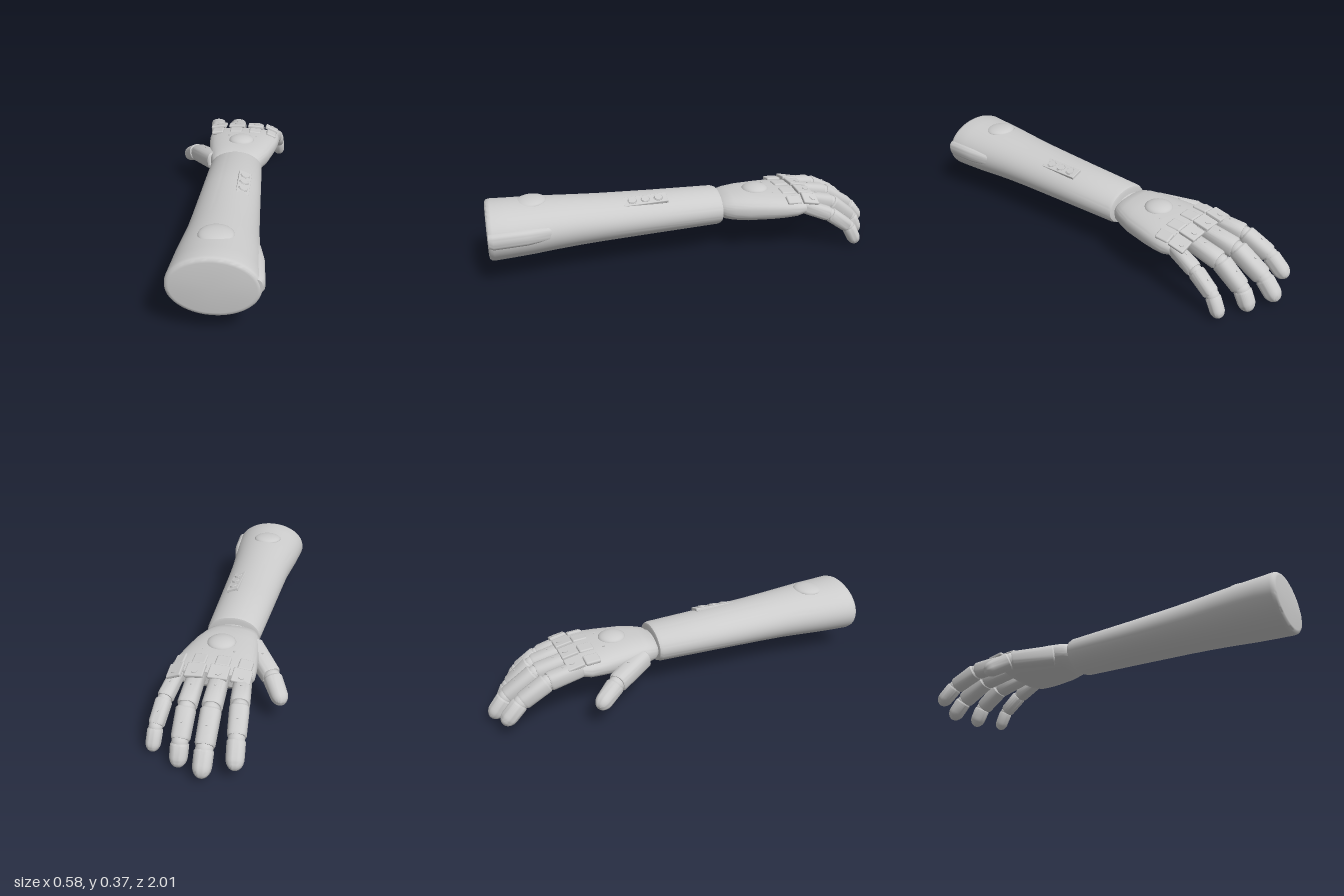
import * as THREE from 'three';
import { toCreasedNormals } from 'three/addons/utils/BufferGeometryUtils.js';
import { RoundedBoxGeometry } from 'three/addons/geometries/RoundedBoxGeometry.js';

const grey = new THREE.MeshStandardMaterial({ color: 0xcccccc });

function add(parent, name, geometry, x = 0, y = 0, z = 0) {
  const m = new THREE.Mesh(geometry, grey);
  m.name = name;
  m.position.set(x, y, z);
  parent.add(m);
  return m;
}

// Closed skin over superellipse sections [z, cx, cy, rx, ry], z ascending
function loft(sections, power = 2, sides = 48) {
  const first = sections[0], last = sections[sections.length - 1];
  const point = s => [s[0], s[1], s[2], 0.0002, 0.0002];
  const rows = [point(first), ...sections, point(last)];
  const pos = [], index = [];
  const bend = v => Math.sign(v) * Math.pow(Math.abs(v), 2 / power);
  rows.forEach(([z, cx, cy, rx, ry], i) => {
    for (let j = 0; j < sides; j++) {
      const a = (j / sides) * Math.PI * 2;
      pos.push(cx + rx * bend(Math.cos(a)), cy + ry * bend(Math.sin(a)), z);
      if (i === rows.length - 1) continue;
      const p = i * sides + j, q = i * sides + (j + 1) % sides;
      index.push(p, q, q + sides, p, q + sides, p + sides);
    }
  });
  const g = new THREE.BufferGeometry();
  g.setAttribute('position', new THREE.Float32BufferAttribute(pos, 3));
  g.setIndex(index);
  return toCreasedNormals(g, 0.6);
}

// Low dome button, flattened sphere cap
function dome(parent, name, r, h, x, y, z, tilt = 0) {
  const g = new THREE.SphereGeometry(1, 40, 12, 0, Math.PI * 2, 0, Math.PI / 2);
  g.scale(r, h, r);
  const m = add(parent, name, g, x, y, z);
  m.rotation.x = tilt;
  return m;
}

function screw(parent, r, x, y, z) {
  return add(parent, 'screw', new THREE.CylinderGeometry(r, r, 0.008, 16), x, y, z);
}

// One phalanx from a to b, either a boxy sleeve or a rounded tip
function phalanx(parent, name, a, b, r0, r1, tip) {
  const g = new THREE.Group();
  g.name = name;
  g.position.copy(a);
  g.lookAt(b);
  parent.add(g);
  const L = a.distanceTo(b), s = [];
  if (tip) {
    s.push([0.004, 0, 0, r0 * 0.88, r0 * 0.88], [0.012, 0, 0, r0, r0]);
    const cap = Math.min(r1 * 1.3, L * 0.6);
    for (let i = 0; i <= 8; i++) {
      const t = (i / 8) * Math.PI / 2;
      s.push([L - cap + cap * Math.sin(t), 0, 0, r1 * Math.cos(t) + 0.0004, r1 * Math.cos(t) + 0.0004]);
    }
  } else {
    s.push([0.002, 0, 0, r0 * 0.88, r0 * 0.88], [0.01, 0, 0, r0, r0]);
    s.push([L - 0.018, 0, 0, r1, r1], [L - 0.008, 0, 0, r1 * 0.9, r1 * 0.9]);
  }
  add(g, name + 'Shell', loft(s, tip ? 2.15 : 2.6, 32));
  if (!tip) screw(g, 0.005, 0, (r0 + r1) / 2, L * 0.5);
  return g;
}

function hinge(parent, p, r) {
  add(parent, 'jointBall', new THREE.SphereGeometry(r, 20, 14), p.x, p.y, p.z);
}

export function createModel() {
  const model = new THREE.Group();
  model.name = 'prostheticArm';

  // Forearm
  const forearm = new THREE.Group();
  forearm.name = 'forearm';
  model.add(forearm);
  add(forearm, 'forearmShell', loft([
    [-0.15, 0.044, 0.226, 0.118, 0.076], [-0.146, 0.044, 0.226, 0.13, 0.087],
    [-0.13, 0.044, 0.226, 0.136, 0.093], [0.2, 0.045, 0.226, 0.148, 0.102],
    [0.45, 0.046, 0.227, 0.157, 0.111], [0.58, 0.047, 0.228, 0.163, 0.118],
    [0.68, 0.047, 0.228, 0.172, 0.124], [0.8, 0.048, 0.227, 0.185, 0.131],
    [0.9, 0.048, 0.226, 0.192, 0.135], [0.975, 0.048, 0.226, 0.197, 0.138],
    [0.99, 0.048, 0.226, 0.194, 0.135], [0.998, 0.048, 0.226, 0.186, 0.127],
    [1.0, 0.048, 0.226, 0.176, 0.117],
  ], 2, 72));
  const seam = new THREE.TorusGeometry(1, 0.006, 6, 72);
  seam.scale(0.172, 0.113, 0.15);
  add(forearm, 'endCapSeam', seam, 0.048, 0.226, 0.999);
  add(forearm, 'sideRidge', loft([
    [0.66, 0.19, 0.24, 0.004, 0.01], [0.72, 0.2, 0.24, 0.026, 0.034],
    [0.82, 0.212, 0.24, 0.034, 0.04], [0.975, 0.218, 0.24, 0.037, 0.042],
    [0.995, 0.216, 0.24, 0.03, 0.036],
  ], 2.5, 32));
  dome(forearm, 'elbowButton', 0.077, 0.025, 0.04, 0.345, 0.785, 0.04);

  // Control plate with three round keys
  const plate = new THREE.Group();
  plate.name = 'controlPlate';
  plate.position.set(0.112, 0.317, 0.24);
  plate.rotation.set(0.03, 0, -0.33);
  forearm.add(plate);
  add(plate, 'plateBase', new RoundedBoxGeometry(0.064, 0.016, 0.22, 2, 0.003));
  for (const z of [-0.065, 0, 0.065]) {
    add(plate, 'key', new THREE.CylinderGeometry(0.019, 0.021, 0.006, 24), 0, 0.01, z);
    const ring = add(plate, 'keyRing', new THREE.TorusGeometry(0.022, 0.002, 6, 24), 0, 0.009, z);
    ring.rotation.x = Math.PI / 2;
  }

  // Wrist and palm
  add(model, 'wrist', loft([[-0.2, 0.04, 0.226, 0.1, 0.045], [-0.13, 0.04, 0.226, 0.1, 0.055]]));
  const hand = new THREE.Group();
  hand.name = 'hand';
  model.add(hand);
  add(hand, 'palm', loft([
    [-0.575, 0.062, 0.235, 0.172, 0.034], [-0.562, 0.062, 0.233, 0.19, 0.05],
    [-0.52, 0.06, 0.23, 0.198, 0.06], [-0.46, 0.058, 0.229, 0.193, 0.066],
    [-0.4, 0.055, 0.228, 0.184, 0.07], [-0.28, 0.048, 0.227, 0.161, 0.073],
    [-0.21, 0.041, 0.226, 0.141, 0.068], [-0.17, 0.038, 0.226, 0.127, 0.059],
    [-0.152, 0.038, 0.226, 0.11, 0.046],
  ], 2.5, 64));
  dome(hand, 'palmButton', 0.069, 0.029, 0.055, 0.293, -0.352);
  screw(hand, 0.006, -0.02, 0.294, -0.42);
  screw(hand, 0.006, 0.13, 0.291, -0.42);

  // Fingers: joint positions [x, y, z], radius, knuckle tilt and height
  const fingers = [
    { name: 'index', r: 0.044, roll: 0.15, top: 0.279, joints: [[-0.092, 0.245, -0.56], [-0.113, 0.222, -0.735], [-0.128, 0.155, -0.87], [-0.138, 0.062, -0.963]] },
    { name: 'middle', r: 0.046, roll: 0.04, top: 0.287, joints: [[0.012, 0.25, -0.56], [0.005, 0.212, -0.765], [0, 0.12, -0.915], [-0.002, 0.024, -0.995]] },
    { name: 'ring', r: 0.044, roll: -0.08, top: 0.285, joints: [[0.12, 0.245, -0.56], [0.119, 0.198, -0.755], [0.118, 0.105, -0.875], [0.119, 0.005, -0.925]] },
    { name: 'little', r: 0.037, roll: -0.4, top: 0.272, joints: [[0.212, 0.238, -0.555], [0.236, 0.185, -0.7], [0.248, 0.11, -0.805], [0.255, 0.012, -0.855]] },
  ];
  for (const f of fingers) {
    const finger = new THREE.Group();
    finger.name = f.name + 'Finger';
    hand.add(finger);
    const p = f.joints.map(j => new THREE.Vector3(...j));
    phalanx(finger, 'proximalSegment', p[0], p[1], f.r * 0.95, f.r, false);
    phalanx(finger, 'middleSegment', p[1], p[2], f.r, f.r * 0.95, false);
    phalanx(finger, 'fingertip', p[2], p[3], f.r * 0.93, f.r * 0.9, true);
    hinge(finger, p[1], f.r * 0.86);
    hinge(finger, p[2], f.r * 0.84);

    // Knuckle guard with its screw, and the tab behind it
    const guard = new THREE.Group();
    guard.name = 'knuckleGuard';
    guard.position.set(p[0].x, f.top, -0.592);
    guard.rotation.set(-0.2, 0, f.roll);
    finger.add(guard);
    add(guard, 'guardPlate', new RoundedBoxGeometry(f.r * 2, 0.018, 0.085, 2, 0.006));
    screw(guard, 0.015, 0, 0.008, -0.012);
    const tab = add(finger, 'knuckleTab', new RoundedBoxGeometry(f.r * 1.5, 0.02, 0.075, 3, 0.008), p[0].x, f.top + 0.001, -0.505);
    tab.rotation.set(-0.06, 0, f.roll);
  }

  // Thumb
  const thumb = new THREE.Group();
  thumb.name = 'thumb';
  hand.add(thumb);
  const t = [[-0.07, 0.215, -0.235], [-0.2, 0.18, -0.425], [-0.27, 0.115, -0.54]].map(j => new THREE.Vector3(...j));
  phalanx(thumb, 'thumbBase', t[0], t[1], 0.052, 0.047, false);
  phalanx(thumb, 'thumbTip', t[1], t[2], 0.046, 0.041, true);
  hinge(thumb, t[1], 0.041);
  return model;
}
